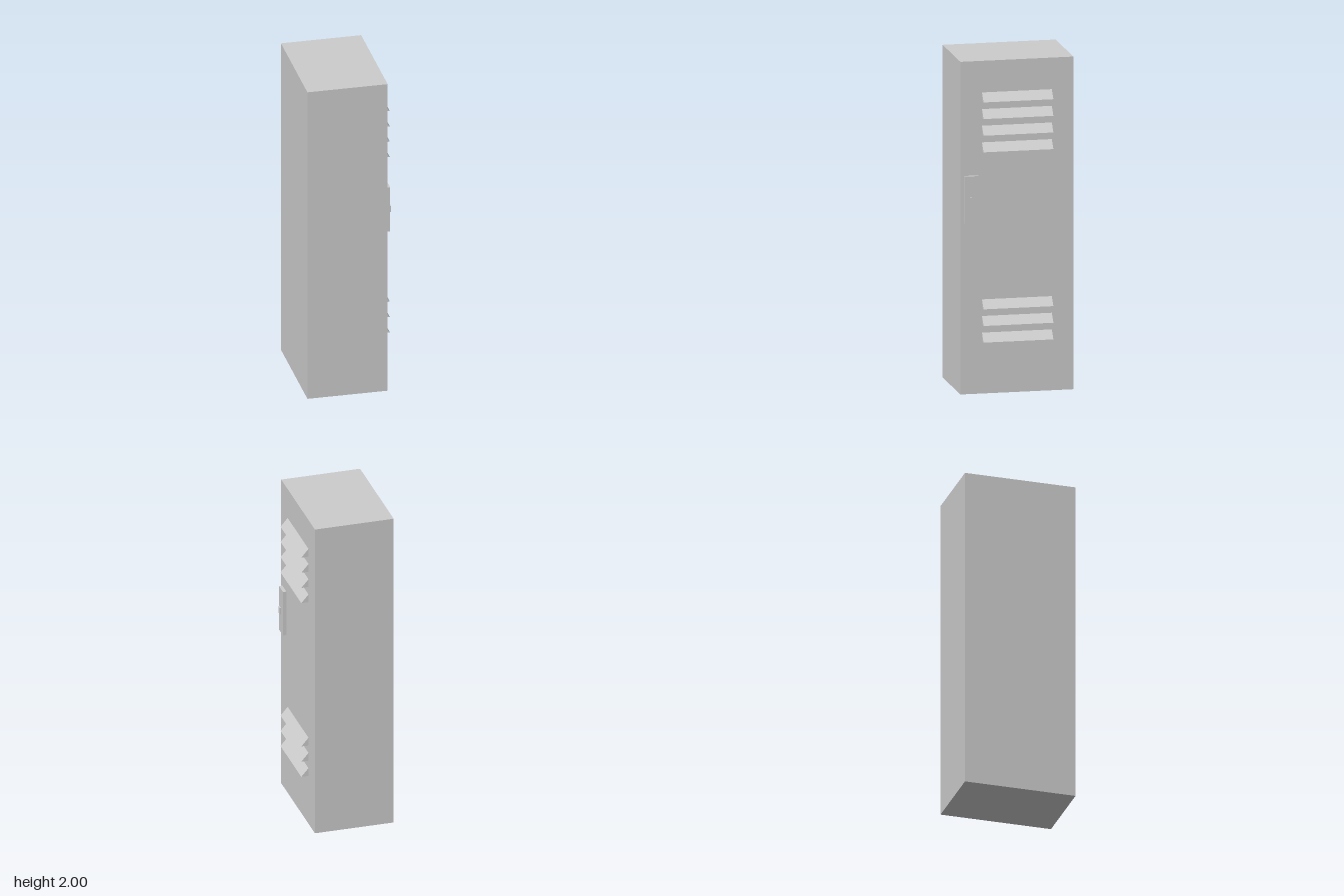
import * as THREE from 'three';

const material = new THREE.MeshStandardMaterial({ color: 0xcccccc, flatShading: true });
const DOOR_X = 0.22; // plane of the door face

// Box given by its min and max corners
function box(name, [x0, y0, z0], [x1, y1, z1]) {
  const mesh = new THREE.Mesh(new THREE.BoxGeometry(x1 - x0, y1 - y0, z1 - z0), material);
  mesh.name = name;
  mesh.position.set((x0 + x1) / 2, (y0 + y1) / 2, (z0 + z1) / 2);
  return mesh;
}

export function createModel() {
  const locker = new THREE.Group();
  locker.name = 'locker';

  // Cabinet
  locker.add(box('cabinet', [-0.264, 0, -0.34], [DOOR_X, 2, 0.34]));

  // Louvres: wedges sloping outwards, flat underneath
  const profile = new THREE.Shape([
    new THREE.Vector2(0, 0),
    new THREE.Vector2(0.044, 0),
    new THREE.Vector2(0, 0.051),
  ]);
  const wedge = new THREE.ExtrudeGeometry(profile, { depth: 0.42, bevelEnabled: false });
  wedge.translate(0, 0, -0.21);

  function addVent(name, bottom, count) {
    const vent = new THREE.Group();
    vent.name = name;
    for (let i = 0; i < count; i++) {
      const louvre = new THREE.Mesh(wedge, material);
      louvre.name = 'louvre';
      louvre.position.set(DOOR_X, bottom + i * 0.1, 0);
      vent.add(louvre);
    }
    locker.add(vent);
  }
  addVent('upperVent', 1.459, 4);
  addVent('lowerVent', 0.315, 3);

  // Latch plate with its small catch
  const handle = new THREE.Group();
  handle.name = 'handle';
  handle.add(
    box('handlePlate', [DOOR_X, 1.027, 0.235], [0.241, 1.313, 0.317]),
    box('handleCatch', [0.241, 1.147, 0.276], [0.248, 1.188, 0.308]),
  );
  locker.add(handle);

  return locker;
}
